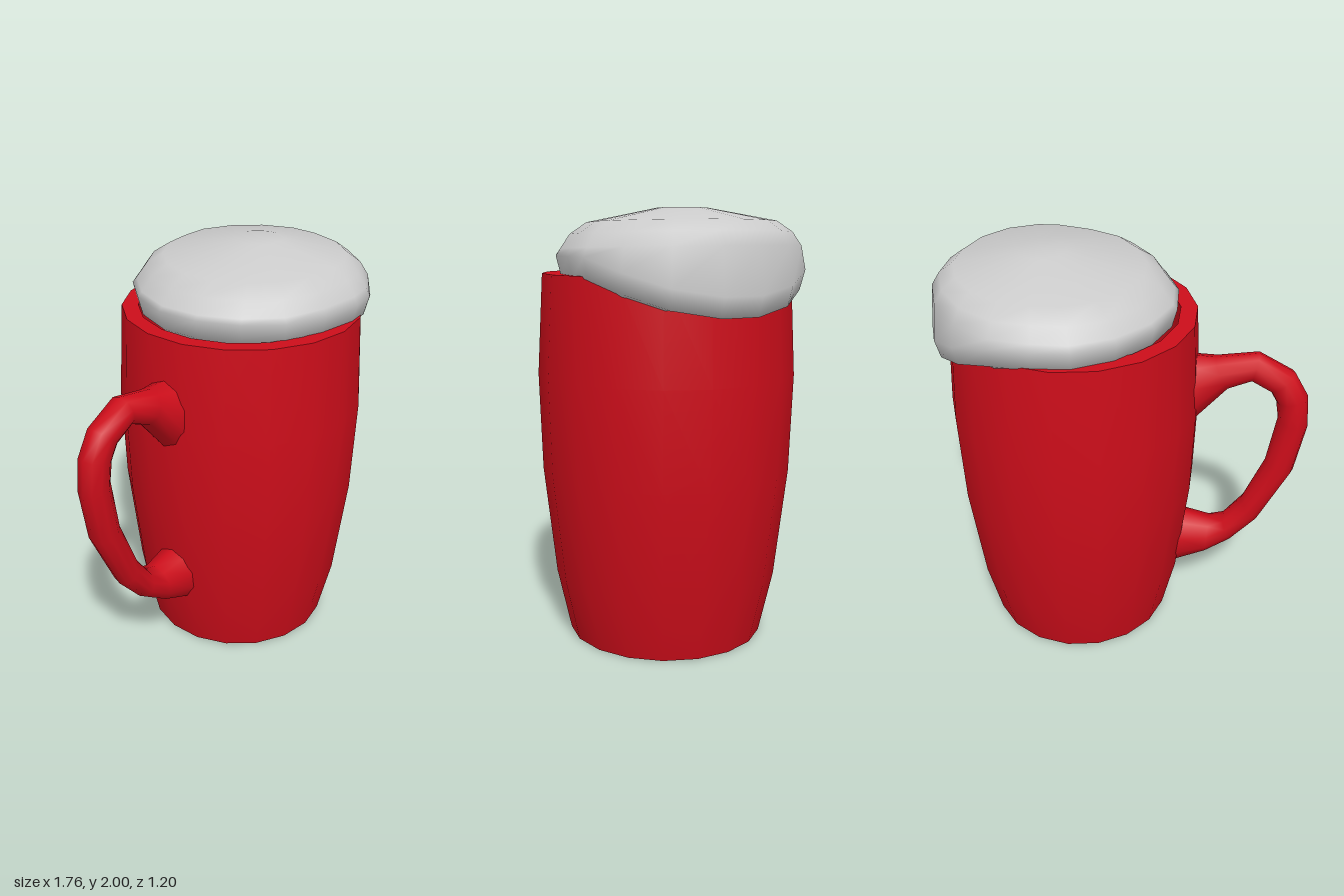
import * as THREE from 'three';
import { toCreasedNormals } from 'three/addons/utils/BufferGeometryUtils.js';

// Skin a list of closed rings (equal point counts) and close both ends with a fan
function loft(rings) {
  const n = rings[0].length, pos = [], idx = [];
  rings.forEach(r => r.forEach(p => pos.push(p.x, p.y, p.z)));
  for (let i = 0; i < rings.length - 1; i++) {
    for (let j = 0; j < n; j++) {
      const a = i * n + j, b = i * n + (j + 1) % n;
      idx.push(a, a + n, b, b, a + n, b + n);
    }
  }
  const cap = (ring, start, flip) => {
    const c = ring.reduce((s, p) => s.add(p), new THREE.Vector3()).divideScalar(n);
    const k = pos.length / 3;
    pos.push(c.x, c.y, c.z);
    for (let j = 0; j < n; j++) {
      const a = start + j, b = start + (j + 1) % n;
      if (flip) idx.push(k, a, b); else idx.push(k, b, a);
    }
  };
  cap(rings[0], 0, true);
  cap(rings[rings.length - 1], (rings.length - 1) * n, false);
  const g = new THREE.BufferGeometry();
  g.setAttribute('position', new THREE.Float32BufferAttribute(pos, 3));
  g.setIndex(idx);
  g.computeVertexNormals();
  return g;
}

export function createModel() {
  const group = new THREE.Group();
  const red = new THREE.MeshStandardMaterial({ color: 0xcc0d1a });
  const grey = new THREE.MeshStandardMaterial({ color: 0xcccccc });
  const add = (name, geo, mat) => {
    const m = new THREE.Mesh(geo, mat);
    m.name = name;
    group.add(m);
    return m;
  };

  // Mug body: bulging outer wall, flat rim, inner wall and floor
  const profile = [
    [0, 0], [0.46, 0], [0.525, 0.29], [0.583, 0.8], [0.598, 1.25], [0.574, 1.71],
    [0.495, 1.71], [0.52, 1.25], [0.505, 0.8], [0.45, 0.29], [0.4, 0.1], [0, 0.1],
  ].map(([r, y]) => new THREE.Vector2(r, y));
  const body = add('mugBody', toCreasedNormals(new THREE.LatheGeometry(profile, 18), 0.7), red);
  body.position.x = 0.235;

  // Handle: each section is outer x, y, inner x, y, half depth
  const sections = [
    [-0.22, 0.27, -0.25, 0.59, 0.125],
    [-0.28, 0.28, -0.31, 0.58, 0.12],
    [-0.43, 0.35, -0.44, 0.55, 0.095],
    [-0.56, 0.44, -0.51, 0.575, 0.075],
    [-0.69, 0.59, -0.60, 0.70, 0.072],
    [-0.84, 0.90, -0.70, 0.95, 0.072],
    [-0.885, 1.16, -0.74, 1.20, 0.072],
    [-0.87, 1.33, -0.725, 1.29, 0.072],
    [-0.80, 1.45, -0.69, 1.35, 0.072],
    [-0.63, 1.54, -0.60, 1.40, 0.072],
    [-0.43, 1.505, -0.50, 1.355, 0.085],
    [-0.34, 1.51, -0.35, 1.18, 0.125],
    [-0.28, 1.51, -0.29, 1.16, 0.125],
  ];
  add('handle', loft(sections.map(([ox, oy, ix, iy, d]) =>
    Array.from({ length: 10 }, (_, j) => {
      const a = j / 10 * Math.PI * 2, t = (1 + Math.cos(a)) / 2;
      return new THREE.Vector3(ix + (ox - ix) * t, iy + (oy - iy) * t, -d * Math.sin(a));
    }))), red);

  // Foam: one outline, scaled level by level, spilling over the rim at +x
  const outline = [
    [0.87, 0.08], [0.8, 0.29], [0.67, 0.45], [0.5, 0.54], [0.37, 0.555], [0.16, 0.52],
    [-0.03, 0.44], [-0.16, 0.29], [-0.24, 0.1], [-0.25, -0.1], [-0.17, -0.3], [-0.03, -0.46],
    [0.15, -0.56], [0.32, -0.575], [0.5, -0.565], [0.68, -0.46], [0.81, -0.3], [0.88, -0.1],
  ];
  const cx = 0.32;
  const lip = c => Math.min(1.7, 1.54 + 0.26 * (1 - c));
  const levels = [
    [0.7, 0, () => 1.57],
    [0.96, 0, lip],
    [1, 0, c => lip(c) + 0.09],
    [0.965, 0, c => 1.825 + 0.015 * c],
    [0.89, 0.005, c => 1.888 + 0.012 * c],
    [0.76, 0.015, c => 1.938 + 0.008 * c],
    [0.2, 0.05, () => 2],
  ];
  add('foam', loft(levels.map(([s, shift, height]) =>
    outline.map(([x, z]) => {
      const c = (x - cx) / Math.hypot(x - cx, z);
      return new THREE.Vector3(cx + shift + (x - cx) * s, height(c), z * s);
    }))), grey);

  return group;
}
